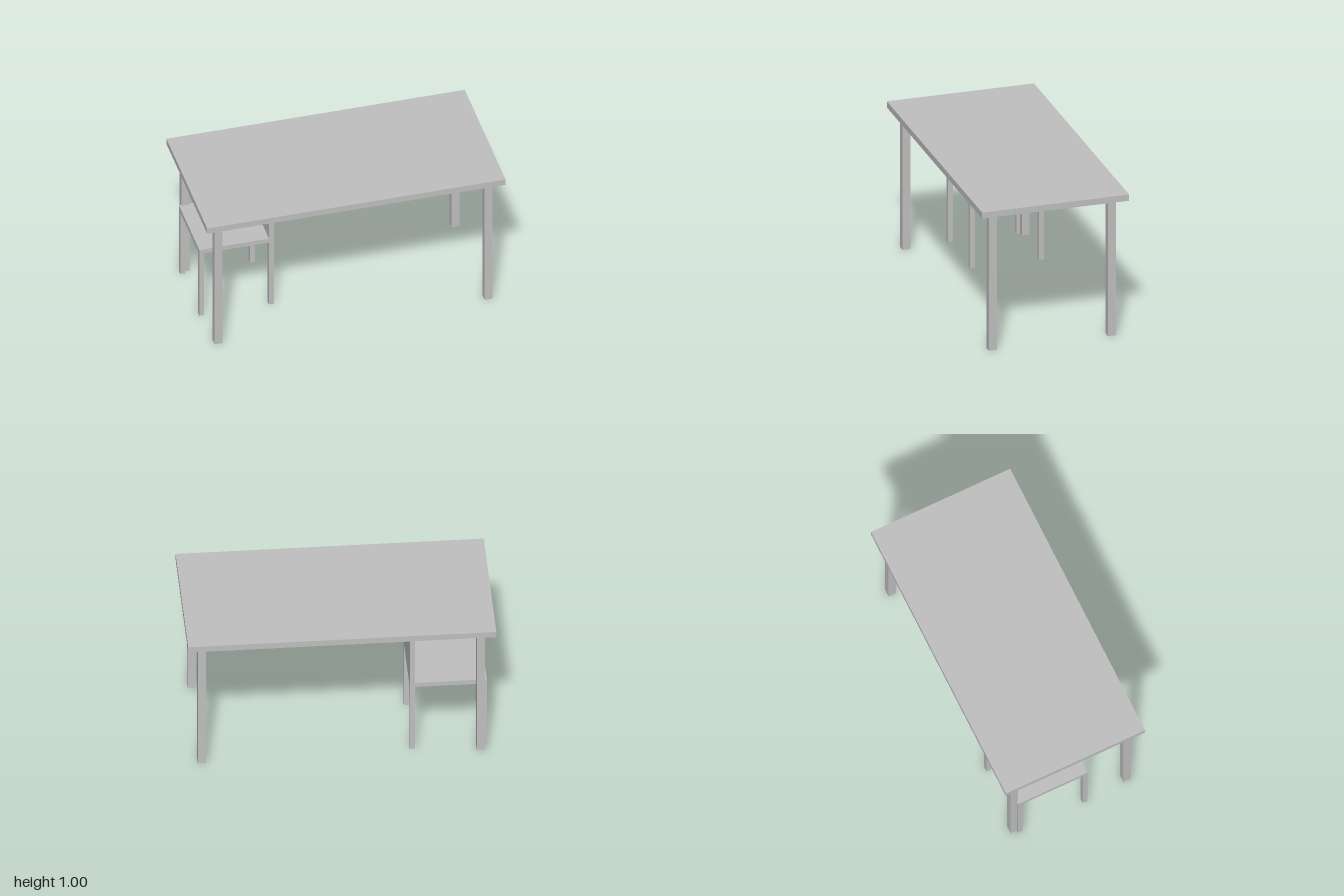
import * as THREE from 'three';

export function createModel() {
  const model = new THREE.Group();
  model.name = 'tableAndChair';
  const grey = new THREE.MeshStandardMaterial({ color: 0xc0c0c0 });
  grey.name = 'light grey';

  // Box standing on height y, centred on x and z
  const addBox = (parent, name, w, h, d, x, y, z) => {
    const mesh = new THREE.Mesh(new THREE.BoxGeometry(w, h, d), grey);
    mesh.name = name;
    mesh.position.set(x, y + h / 2, z);
    parent.add(mesh);
  };

  // Four square legs, at offsets dx and dz from the parent's centre
  const addLegs = (parent, name, size, height, dx, dz) => {
    for (const sx of [-1, 1]) {
      for (const sz of [-1, 1]) {
        addBox(parent, name, size, height, size, sx * dx, 0, sz * dz);
      }
    }
  };

  // Table
  const table = new THREE.Group();
  table.name = 'table';
  const underside = 0.957;
  addBox(table, 'tableTop', 2, 1 - underside, 1, 0, underside, 0);
  addLegs(table, 'tableLeg', 0.054, underside, 0.905, 0.405);
  model.add(table);

  // Chair tucked under the table, its backrest towards +x
  const chair = new THREE.Group();
  chair.name = 'chair';
  const width = 0.5, thick = 0.033, seatBottom = 0.5;
  const inset = (width - thick) / 2;
  addBox(chair, 'seat', width, thick, width, 0, seatBottom, 0);
  const seatTop = seatBottom + thick;
  addBox(chair, 'backrest', thick, underside - seatTop, width, inset, seatTop, 0);
  addLegs(chair, 'chairLeg', thick, seatBottom, inset, inset);
  chair.position.set(-0.697, 0, -0.138);
  model.add(chair);

  return model;
}
